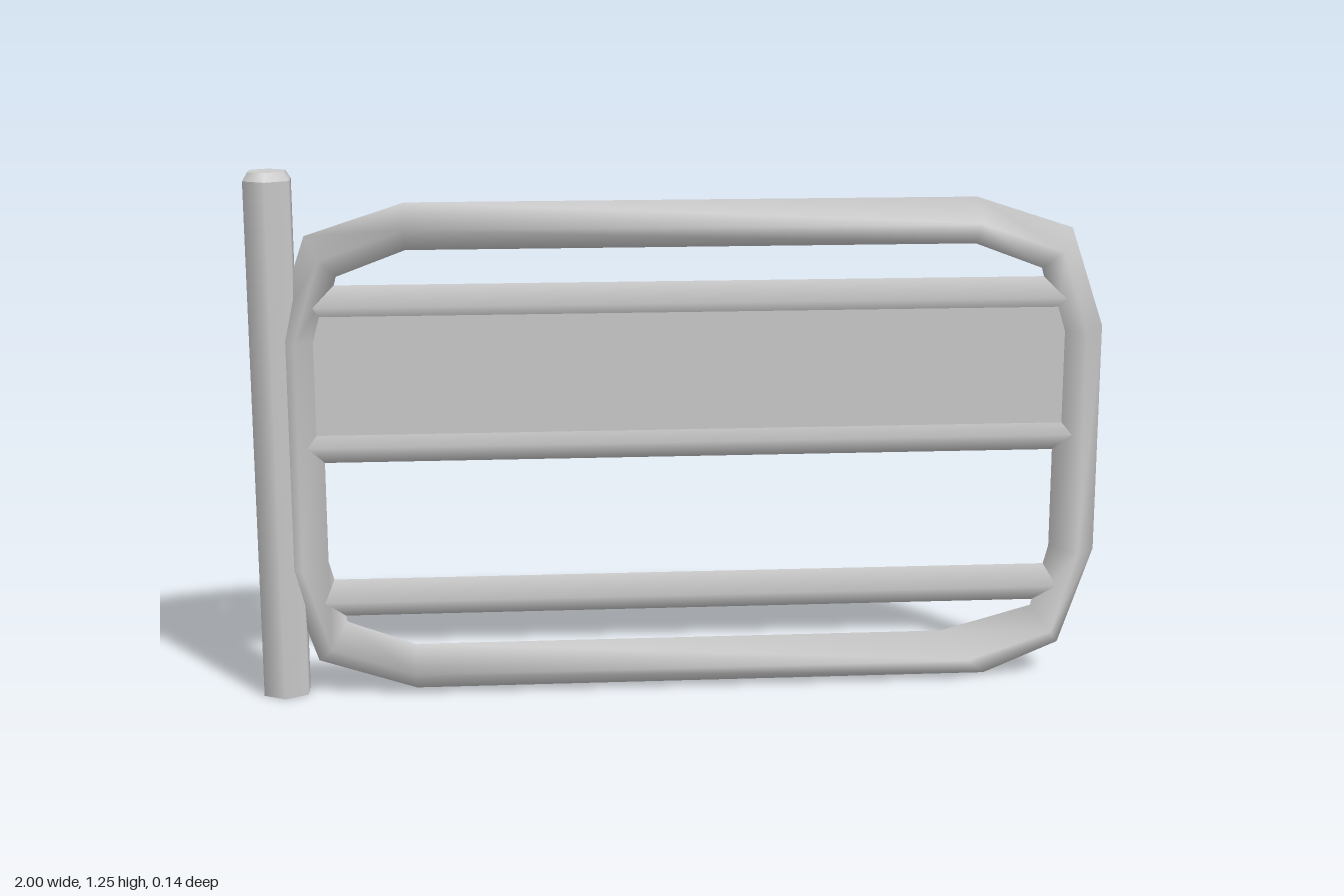
import * as THREE from 'three';

const CX = 0.025, CY = 0.585; // centre of the gate panel
const material = new THREE.MeshStandardMaterial({ color: 0xcccccc });

function add(group, name, geometry, x, y, z = 0) {
  const mesh = new THREE.Mesh(geometry, material);
  mesh.name = name;
  mesh.position.set(x, y, z);
  group.add(mesh);
  return mesh;
}

// Closed loop of diamond sections, each given by its outer and inner point
function frameGeometry() {
  const quarter = [
    [0.665, 0.585, 0.665, 0.475],
    [0.895, 0.51, 0.825, 0.415],
    [0.975, 0.275, 0.865, 0.265],
  ];
  const mirror = (sx, sy) => quarter.map(([a, b, c, d]) => [a * sx, b * sy, c * sx, d * sy]);
  const sections = [
    ...mirror(1, 1), ...mirror(1, -1).reverse(),
    ...mirror(-1, -1), ...mirror(-1, 1).reverse(),
  ];
  // slanted joint where the loop closes
  sections[5] = [0.715, -0.585, 0.605, -0.475];

  const positions = [], index = [], n = sections.length, depth = 0.07;
  sections.forEach(([ox, oy, ix, iy], i) => {
    const mx = (ox + ix) / 2, my = (oy + iy) / 2;
    positions.push(ox, oy, 0, mx, my, depth, ix, iy, 0, mx, my, -depth);
    const next = ((i + 1) % n) * 4;
    for (let k = 0; k < 4; k++) {
      const k2 = (k + 1) % 4;
      const a = i * 4 + k, b = i * 4 + k2, c = next + k2, d = next + k;
      index.push(a, b, c, a, c, d);
    }
  });
  const geometry = new THREE.BufferGeometry();
  geometry.setAttribute('position', new THREE.Float32BufferAttribute(positions, 3));
  geometry.setIndex(index);
  geometry.computeVertexNormals();
  return geometry;
}

export function createModel() {
  const gate = new THREE.Group();
  gate.name = 'gate';

  // Hexagonal hinge post with a chamfered top
  add(gate, 'post', new THREE.CylinderGeometry(0.06, 0.06, 1.225, 6), -0.948, 0.6125);
  add(gate, 'postCap', new THREE.CylinderGeometry(0.047, 0.06, 0.02, 6), -0.948, 1.235);

  // Rounded outer frame
  add(gate, 'frame', frameGeometry(), CX, CY);

  // Horizontal rails, diamond in section
  const rails = [['upperRail', 0.935, 1.82], ['middleRail', 0.605, 1.83], ['lowerRail', 0.23, 1.79]];
  for (const [name, y, length] of rails) {
    const rail = new THREE.CylinderGeometry(0.045, 0.045, length, 4);
    rail.rotateZ(Math.PI / 2);
    add(gate, name, rail, CX, y);
  }

  // Flat board between the upper two rails
  add(gate, 'board', new THREE.BoxGeometry(1.82, 0.33, 0.04), CX, 0.77);

  return gate;
}
